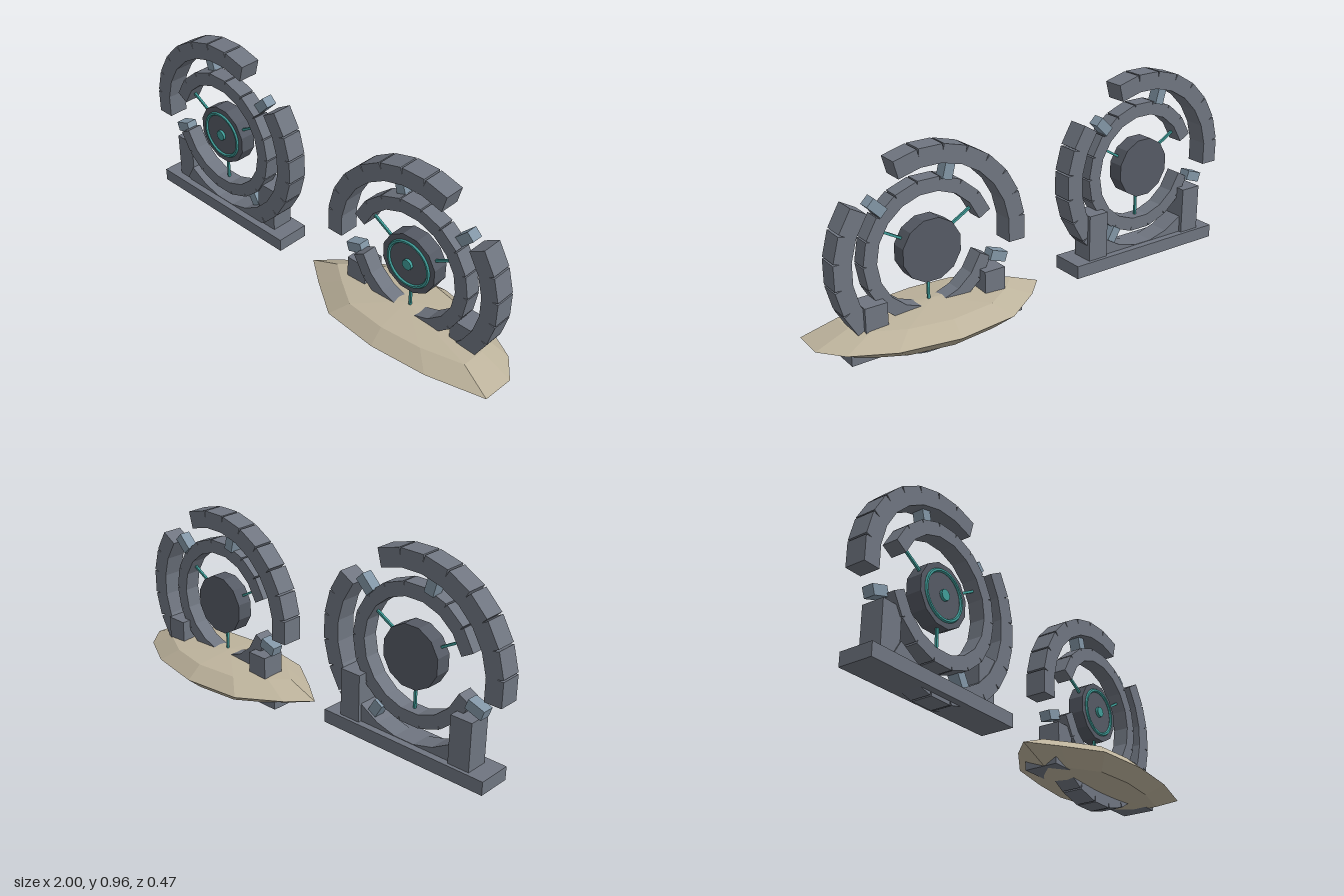
import * as THREE from 'three';

const mat = (color, side = THREE.FrontSide) =>
  new THREE.MeshStandardMaterial({ color, flatShading: true, side });
const METAL = mat(0x6f7580);
const CORE = mat(0x555a64);
const CLAMP = mat(0x8296a6);
const GLOW = mat(0x3f9c98);
const STONE = mat(0xbdb39c);
const DEG = Math.PI / 180;

function add(parent, name, geometry, material, x = 0, y = 0, z = 0) {
  const mesh = new THREE.Mesh(geometry, material);
  mesh.name = name;
  mesh.position.set(x, y, z);
  parent.add(mesh);
  return mesh;
}

// Box set at a polar position in the ring plane, its x side pointing outwards
function radialBox(parent, name, material, deg, r0, r1, width, depth, z) {
  const a = deg * DEG, r = (r0 + r1) / 2;
  const box = add(parent, name, new THREE.BoxGeometry(r1 - r0, width, depth),
    material, r * Math.cos(a), r * Math.sin(a), z);
  box.rotation.z = a;
}

function arc(parent, name, from, to, step, ...box) {
  const group = new THREE.Group();
  group.name = name;
  for (let d = from; d <= to; d += step) radialBox(group, name + 'Block', METAL, d, ...box);
  parent.add(group);
}

// Ring machine; baseTop is the height of the base's upper face relative to the hub
function createGate(name, baseTop) {
  const gate = new THREE.Group();
  gate.name = name;

  // Broken outer ring and inner ring made of straight blocks
  arc(gate, 'outerRingUpper', 75, 180, 15, 0.35, 0.425, 0.104, 0.09, -0.01);
  arc(gate, 'outerRingLower', 240, 390, 15, 0.35, 0.425, 0.104, 0.09, -0.01);
  arc(gate, 'innerRing', -150, 150, 20, 0.232, 0.29, 0.096, 0.07, 0.004);

  // Clamps between the rings
  for (const d of [45, 105, 199, 300])
    radialBox(gate, 'clamp', CLAMP, d, 0.285, 0.362, 0.043, 0.05, -0.02);

  // Twelve-sided core with glowing ring, hub and spokes
  const core = add(gate, 'core', new THREE.CylinderGeometry(0.133, 0.133, 0.07, 12), CORE, 0, 0, -0.005);
  core.rotation.set(Math.PI / 2, Math.PI / 12, 0);
  add(gate, 'coreRing', new THREE.TorusGeometry(0.1, 0.008, 6, 32), GLOW, 0, 0, 0.031);
  const hub = add(gate, 'coreHub', new THREE.CylinderGeometry(0.023, 0.023, 0.03, 12), GLOW, 0, 0, 0.027);
  hub.rotation.x = Math.PI / 2;
  for (const d of [30, 150, 270])
    radialBox(gate, 'spoke', GLOW, d, 0.12, 0.24, 0.01, 0.01, 0.004);

  // Posts and base
  const postTop = -0.146, h = postTop - baseTop;
  for (const s of [-1, 1])
    add(gate, 'post', new THREE.BoxGeometry(0.096, h, 0.1), METAL, s * 0.269, baseTop + h / 2, -0.02);
  add(gate, 'base', new THREE.BoxGeometry(0.782, 0.058, 0.15), METAL, 0, baseTop - 0.029, -0.01);
  return gate;
}

// Faceted lens-shaped rock: an uneven outline with a smaller ring above and below
function createRock() {
  const outline = [
    [0.515, 0], [0.435, -0.1], [0.265, -0.19], [0.015, -0.235], [-0.25, -0.203], [-0.425, -0.085],
    [-0.52, 0.01], [-0.4, 0.1], [-0.235, 0.21], [0.015, 0.23], [0.265, 0.205], [0.51, 0.14],
  ];
  const levels = [[-0.078, 0], [-0.056, 0.73], [0, 1], [0.056, 0.73], [0.078, 0]];
  const n = outline.length, pos = [], index = [];
  for (const [y, s] of levels)
    for (const [x, z] of outline) pos.push(x * s, y, z * s);
  for (let l = 0; l < levels.length - 1; l++)
    for (let i = 0; i < n; i++) {
      const a = l * n + i, b = l * n + (i + 1) % n, c = b + n, d = a + n;
      if (l > 0) index.push(a, b, d);
      if (l === 0) index.push(a, c, d);
      else if (l < levels.length - 2) index.push(b, c, d);
    }
  const geometry = new THREE.BufferGeometry();
  geometry.setAttribute('position', new THREE.Float32BufferAttribute(pos, 3));
  geometry.setIndex(index);
  const flat = geometry.toNonIndexed();
  flat.computeVertexNormals();
  return flat;
}

export function createModel() {
  const model = new THREE.Group();
  model.name = 'ringGates';

  const standing = createGate('standingGate', -0.352);
  standing.position.set(-0.577, 0.537, 0);

  const embedded = createGate('embeddedGate', -0.3);
  embedded.position.set(0.498, 0.428, 0);

  model.add(standing, embedded);
  add(model, 'rock', createRock(), STONE, 0.48, 0.128, 0);
  return model;
}
